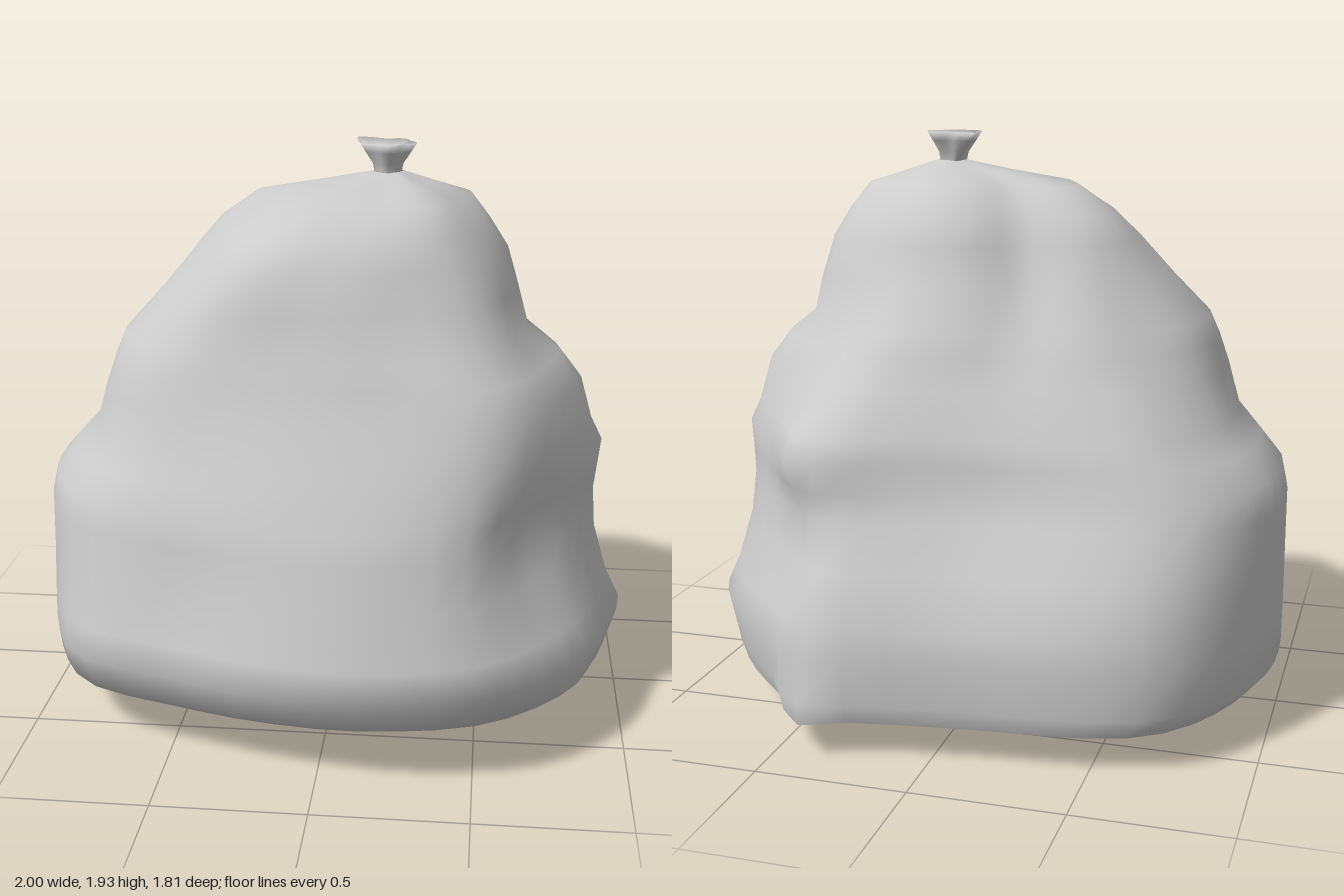
import * as THREE from 'three';

// Skin a stack of closed rings (listed bottom to top)
function loft(rings, flat) {
  const n = rings[0].length, index = [];
  for (let j = 0; j < rings.length - 1; j++) {
    for (let i = 0; i < n; i++) {
      const a = j * n + i, b = j * n + (i + 1) % n;
      index.push(a, a + n, b, b, a + n, b + n);
    }
  }
  const geo = new THREE.BufferGeometry().setFromPoints(rings.flat());
  geo.setIndex(index);
  geo.computeVertexNormals();
  const mat = new THREE.MeshStandardMaterial({ color: 0xcccccc, side: THREE.DoubleSide, flatShading: !!flat });
  return new THREE.Mesh(geo, mat);
}

// Irregular floor plan, scaled to a unit outline (x, z), as directions for every ring
const PLAN = new THREE.CatmullRomCurve3([
  [1, 0], [0.95, 0.26], [0.84, 0.59], [0.55, 0.90], [0.15, 1], [-0.12, 0.98],
  [-0.40, 0.90], [-0.78, 0.70], [-0.94, 0.42], [-1, 0.10], [-0.96, -0.38], [-0.70, -0.81],
  [-0.05, -0.94], [0.20, -0.98], [0.41, -1], [0.61, -0.80], [0.82, -0.54], [0.94, -0.30],
].map(([x, z]) => new THREE.Vector3(x, 0, z)), true).getSpacedPoints(48).slice(0, 48);

// Body outline by height: [y, xMin, xMax, zMin, zMax]
const ROWS = [
  [0.12, -0.94, 0.94, -0.83, 0.63],
  [0.19, -1.00, 0.96, -0.86, 0.81],
  [0.33, -1.00, 1.00, -0.85, 0.91],
  [0.43, -1.00, 0.95, -0.86, 0.89],
  [0.60, -1.00, 0.90, -0.79, 0.84],
  [0.74, -1.00, 0.89, -0.71, 0.81],
  [0.83, -0.98, 0.90, -0.67, 0.78],
  [0.92, -0.90, 0.91, -0.65, 0.74],
  [1.00, -0.82, 0.87, -0.63, 0.71],
  [1.14, -0.77, 0.83, -0.56, 0.64],
  [1.24, -0.73, 0.75, -0.53, 0.61],
  [1.32, -0.70, 0.64, -0.50, 0.58],
  [1.45, -0.59, 0.60, -0.43, 0.53],
  [1.58, -0.49, 0.56, -0.38, 0.50],
  [1.67, -0.41, 0.50, -0.35, 0.43],
  [1.76, -0.28, 0.43, -0.25, 0.32],
  [1.80, -0.06, 0.31, -0.13, 0.15],
  [1.835, 0.12, 0.21, -0.04, 0.04],
];

// Bulges (+) and creases (-): [x, y, z, amount, radius]
const BUMPS = [
  [0.41, 0.12, -0.83, 0.07, 0.10],
  [-0.80, 0.33, 0.65, 0.03, 0.20],
  [0.72, 0.75, 0.52, -0.09, 0.24],
  [-0.45, 0.55, 0.75, -0.03, 0.22],
  [0.45, 0.93, -0.65, 0.12, 0.22],
  [0.50, 0.70, -0.65, -0.05, 0.18],
  [-0.15, 0.72, -0.70, -0.03, 0.22],
  [0.55, 1.10, 0.50, 0.04, 0.22],
  [0.45, 1.30, 0.40, 0.04, 0.20],
  [-0.62, 1.25, 0.35, 0.06, 0.28],
  [-0.52, 1.32, -0.30, -0.06, 0.26],
  [-0.21, 1.30, -0.50, -0.05, 0.14],
  [-0.20, 1.50, -0.36, -0.08, 0.16],
  [-0.16, 1.72, -0.24, -0.06, 0.14],
  [-0.24, 1.57, 0.42, 0.07, 0.16],
  [0.25, 1.62, 0.38, -0.05, 0.18],
  [0.50, 1.45, -0.22, 0.03, 0.18],
];

function bodyPoint([y, x0, x1, z0, z1], dir) {
  const a = Math.atan2(dir.z, dir.x), c = Math.cos(a), s = Math.sin(a);
  // the plan turns round and leans to the knot towards the top
  const top = THREE.MathUtils.smoothstep(y, 0.9, 1.6);
  const u = THREE.MathUtils.lerp(dir.x, c, top), v = THREE.MathUtils.lerp(dir.z, s, top);
  const cx = 0.17 * Math.max(0, y - 1.5) / 0.335;
  const p = new THREE.Vector3(cx + u * (u > 0 ? x1 - cx : cx - x0), y, v * (v > 0 ? z1 : -z0));
  let push = 0;
  for (const [bx, by, bz, amount, r] of BUMPS) {
    const d2 = (p.x - bx) ** 2 + (p.y - by) ** 2 + (p.z - bz) ** 2;
    push += amount * Math.exp(-d2 / (r * r));
  }
  // gathered pleats fan out below the knot
  const gather = THREE.MathUtils.smoothstep(y, 1.45, 1.8) * Math.min(1, (1.85 - y) / 0.1);
  push += 0.02 * gather * Math.cos(5 * a + 1.6);
  p.x += c * push;
  p.z += s * push;
  return p;
}

export function createModel() {
  const bag = new THREE.Group();
  bag.name = 'tiedBag';

  // Slumped, creased sack
  const body = loft(ROWS.map((row) => PLAN.map((dir) => bodyPoint(row, dir))));
  body.name = 'sackBody';
  bag.add(body);

  // Sloping underside with an open hole, its rim lifted at the front
  const rim = PLAN.map((dir) => {
    const { x, z } = dir.clone().normalize();
    const lift = THREE.MathUtils.smoothstep(0.8 * z - 0.8 * x, 0.2, 1.2);
    return new THREE.Vector3(-0.02 + 0.51 * x, 0.12 * lift, 0.04 + 0.45 * z);
  });
  const base = loft([rim, PLAN.map((dir) => bodyPoint(ROWS[0], dir))], true);
  base.name = 'underside';
  bag.add(base);

  // Flared, ruffled tuft above the tie, folded in at the top
  const TUFT = [[1.83, 0.045, 0], [1.86, 0.05, 0.3], [1.90, 0.073, 0.7], [1.93, 0.088, 1], [1.91, 0.05, 0.5], [1.89, 0.002, 0]];
  const tuft = loft(TUFT.map(([y, r, f]) => Array.from({ length: 30 }, (_, i) => {
    const a = i / 30 * Math.PI * 2;
    // one longer corner points to the back right
    const spur = 0.065 * f * Math.exp(-(((a - 3.95) / 0.3) ** 2));
    const rr = r * (1 + 0.12 * f * Math.cos(5 * a - 1)) + spur;
    return new THREE.Vector3(0.16 + rr * Math.cos(a), y, rr * Math.sin(a));
  })));
  tuft.name = 'knotTuft';
  bag.add(tuft);

  return bag;
}
